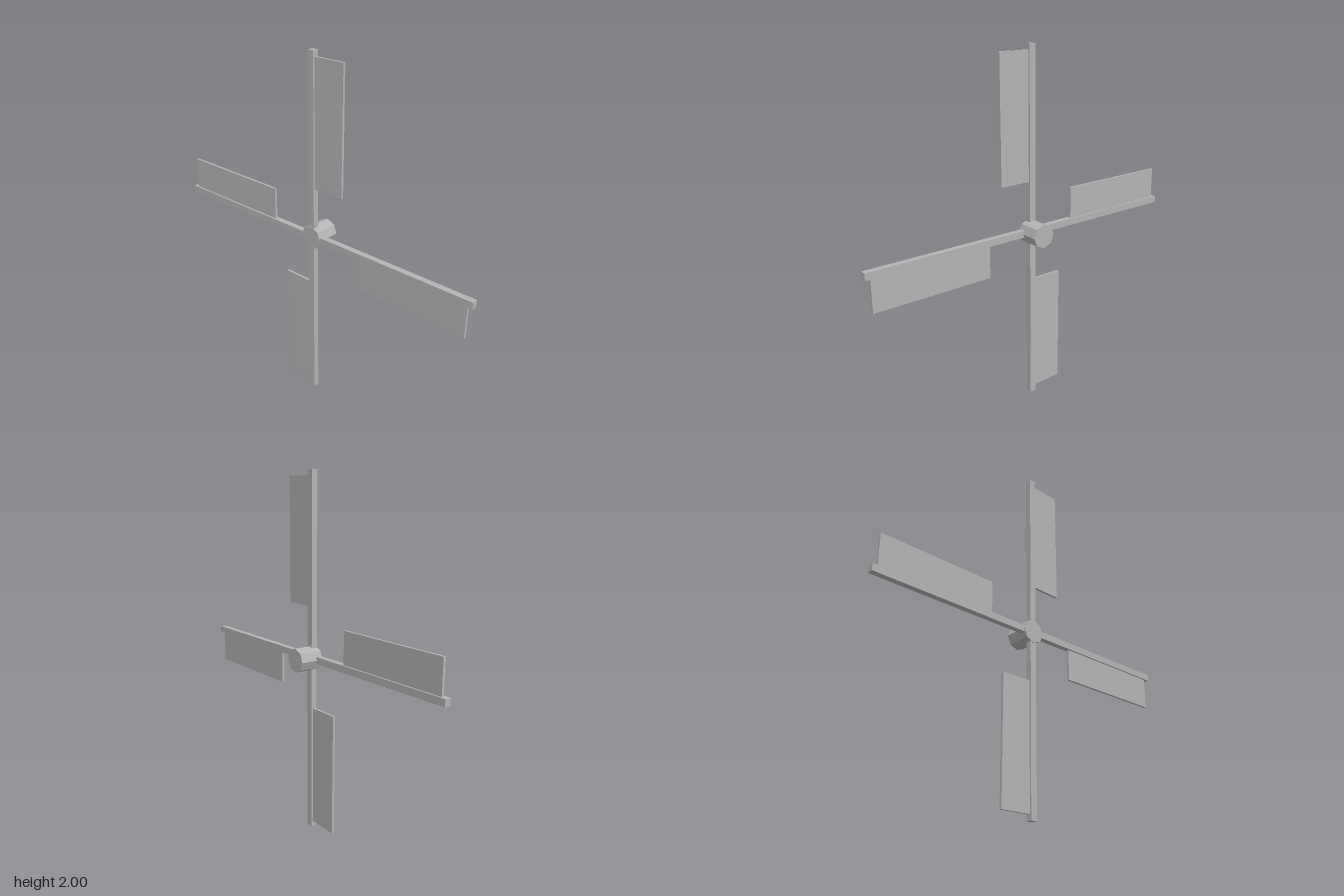
import * as THREE from 'three';

export function createModel() {
  const model = new THREE.Group();
  model.name = 'windmillSails';
  const grey = new THREE.MeshStandardMaterial({ color: 0xb4b4b4, flatShading: true });
  grey.name = 'plain grey';

  function addPart(parent, name, geometry, x, y, z) {
    const mesh = new THREE.Mesh(geometry, grey);
    mesh.name = name;
    mesh.position.set(x, y, z);
    parent.add(mesh);
    return mesh;
  }

  // Eight-sided hub lying along z, corners on the x and y axes
  const hub = addPart(model, 'hub', new THREE.CylinderGeometry(0.067, 0.067, 0.134, 8), 0, 1, 0);
  hub.rotation.x = Math.PI / 2;

  // Four identical blades, each a spar with a sail board on its clockwise side
  const sparGeometry = new THREE.BoxGeometry(0.038, 1, 0.034);
  const sailGeometry = new THREE.BoxGeometry(0.182, 0.685, 0.014);
  for (let i = 0; i < 4; i++) {
    const blade = new THREE.Group();
    blade.name = 'blade' + (i + 1);
    blade.position.set(0, 1, 0.046);
    blade.rotation.z = -i * Math.PI / 2;
    addPart(blade, 'spar', sparGeometry, 0, 0.5, 0);
    addPart(blade, 'sail', sailGeometry, 0.109, 0.6265, 0);
    model.add(blade);
  }
  return model;
}
